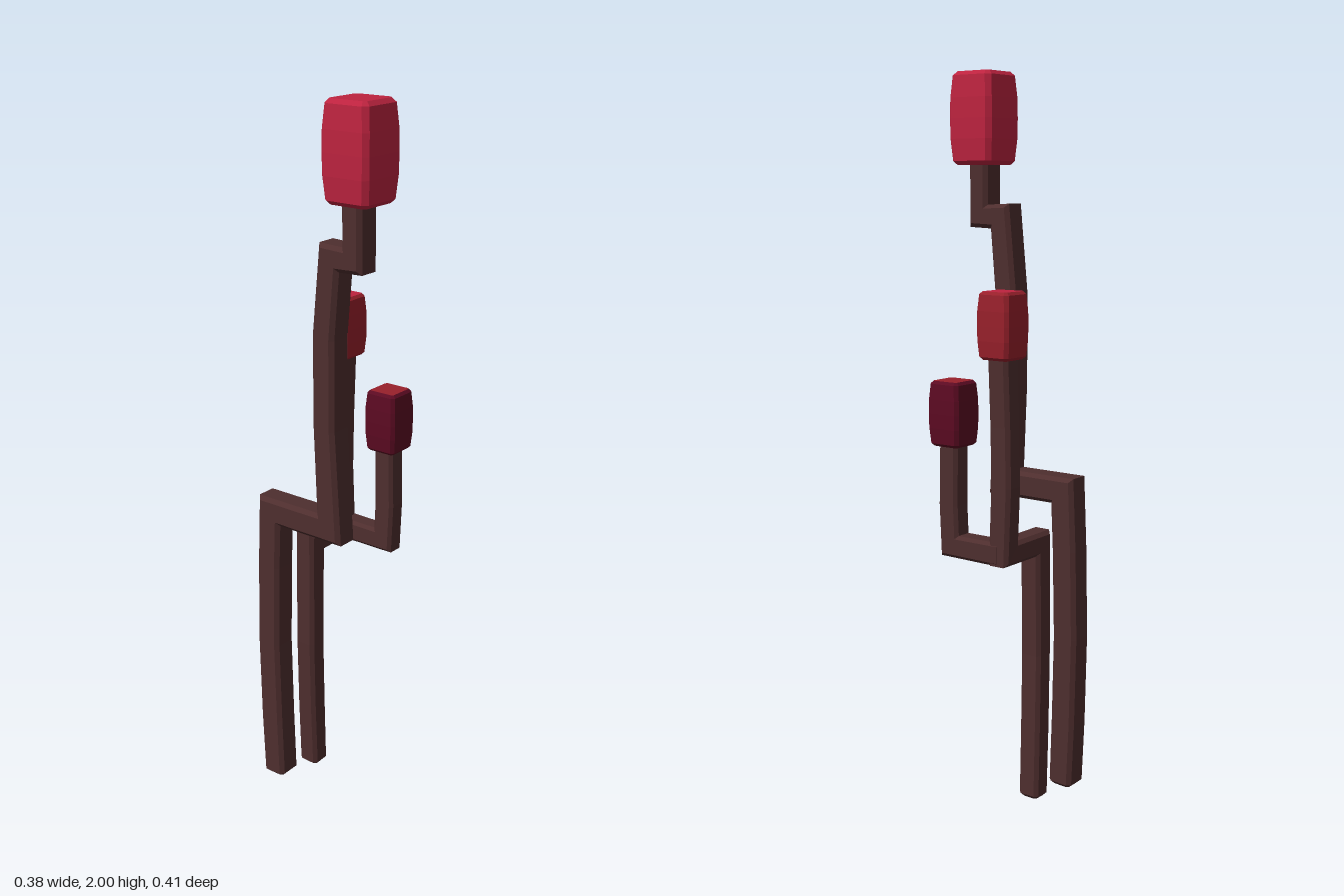
import * as THREE from 'three';

const V = (x, y, z) => new THREE.Vector3(x, y, z);

// Chamfered-square rings along a path with mitred elbows.
// stations: [x, y, z, halfInPlane, halfAcross]; side is normal to the bending plane.
function sweep(stations, side, chamfer, bevel) {
  const pts = stations.map(s => V(s[0], s[1], s[2]));
  const n = pts.length;
  const rings = [];
  const addRing = (p, m, hs, hm, k) => {
    const a = hs - chamfer * k, b = hm - chamfer * k;
    const outline = [[hs, -b], [hs, b], [a, hm], [-a, hm], [-hs, b], [-hs, -b], [-a, -hm], [a, -hm]];
    rings.push(outline.map(([u, v]) => p.clone().addScaledVector(side, u).addScaledVector(m, v)));
  };
  for (let i = 0; i < n; i++) {
    const d0 = pts[Math.max(i, 1)].clone().sub(pts[Math.max(i, 1) - 1]).normalize();
    const j = Math.min(i, n - 2);
    const d1 = pts[j + 1].clone().sub(pts[j]).normalize();
    const t = d0.clone().add(d1).normalize();
    const m = t.clone().cross(side).normalize().divideScalar(t.dot(d1));
    const [, , , hm, hs] = stations[i];
    if (i === 0) {
      addRing(pts[0], m, hs - bevel, hm - bevel, 0.6);
      addRing(pts[0].clone().addScaledVector(t, bevel), m, hs, hm, 1);
    } else if (i === n - 1) {
      addRing(pts[i].clone().addScaledVector(t, -bevel), m, hs, hm, 1);
      addRing(pts[i], m, hs - bevel, hm - bevel, 0.6);
    } else addRing(pts[i], m, hs, hm, 1);
  }
  const pos = [];
  const tri = (...c) => c.forEach(p => pos.push(p.x, p.y, p.z));
  for (let i = 0; i < rings.length - 1; i++) {
    for (let j = 0; j < 8; j++) {
      const k = (j + 1) % 8, a = rings[i], b = rings[i + 1];
      tri(a[j], a[k], b[k]);
      tri(a[j], b[k], b[j]);
    }
  }
  const first = rings[0], last = rings[rings.length - 1];
  for (let j = 1; j < 7; j++) tri(first[0], first[j + 1], first[j]);
  const sideCount = pos.length / 3;
  for (let j = 1; j < 7; j++) tri(last[0], last[j], last[j + 1]);
  const g = new THREE.BufferGeometry();
  g.setAttribute('position', new THREE.Float32BufferAttribute(pos, 3));
  // group 0: sides and underside, group 1: top cap
  g.addGroup(0, sideCount, 0);
  g.addGroup(sideCount, pos.length / 3 - sideCount, 1);
  g.computeVertexNormals();
  return g;
}

export function createModel() {
  const model = new THREE.Group();
  const mat = (name, color) => {
    const m = new THREE.MeshStandardMaterial({ color });
    m.name = name;
    return m;
  };
  const bark = mat('dark brown bark', 0x4e2e2e);
  const crimson = mat('bright crimson', 0xbd233f);
  const red = mat('deep red', 0x98202b);
  const maroon = mat('dark maroon', 0x5c0a22);

  const add = (name, geometry, sideMat, topMat) => {
    const mesh = new THREE.Mesh(geometry, [sideMat, topMat]);
    mesh.name = name;
    model.add(mesh);
  };
  const X = V(1, 0, 0), Z = V(0, 0, 1);

  // Tall stem, stepping forward twice: [y, z, half thickness]
  const tall = [[0.008, -0.155, 0.037], [0.2, -0.162, 0.038], [0.45, -0.167, 0.038], [0.7, -0.161, 0.038],
    [0.87, -0.153, 0.038], [0.87, 0.056, 0.038], [1.15, 0.041, 0.035], [1.4, 0.041, 0.035],
    [1.612, 0.061, 0.034], [1.612, 0.133, 0.031], [1.77, 0.133, 0.031]];
  add('tallStem', sweep(tall.map(([y, z, h]) => [-0.12, y, z, h, 0.038]), X, 0.011, 0.011), bark, bark);

  // Short stem with a sideways step: [x, y, z, half thickness]
  const short = [[-0.009, 0, -0.12, 0.03], [-0.015, 0.2, -0.12, 0.031], [-0.019, 0.42, -0.12, 0.031],
    [-0.013, 0.738, -0.121, 0.032], [0.134, 0.738, -0.121, 0.031], [0.135, 0.92, -0.129, 0.03],
    [0.135, 1.08, -0.126, 0.03], [0.137, 1.28, -0.12, 0.03]];
  add('shortStem', sweep(short.map(([x, y, z, h]) => [x, y, z, h, 0.032]), Z, 0.01, 0.01), bark, bark);

  // Branch reaching forward from the short stem: [y, z, half thickness]
  const branch = [[0.738, -0.13, 0.032], [0.738, 0.041, 0.031], [0.85, 0.046, 0.031], [1.035, 0.043, 0.03]];
  add('frontBranch', sweep(branch.map(([y, z, h]) => [0.136, y, z, h, 0.03]), X, 0.009, 0.009), bark, bark);

  // Buds, slightly swollen at the middle
  const bud = (name, x, z, y0, y1, r, sideMat, topMat) => {
    const rows = [[0, 0.92], [0.28, 0.99], [0.5, 1], [0.72, 0.99], [1, 0.92]];
    const stations = rows.map(([f, k]) => [x, y0 + (y1 - y0) * f, z, r * k, r * k]);
    add(name, sweep(stations, X, r * 0.18, r * 0.15), sideMat, topMat);
  };
  bud('tallBud', -0.118, 0.135, 1.75, 2, 0.072, crimson, crimson);
  bud('middleBud', 0.138, -0.121, 1.255, 1.43, 0.051, red, crimson);
  bud('lowBud', 0.138, 0.042, 1.012, 1.187, 0.051, maroon, red);

  return model;
}
